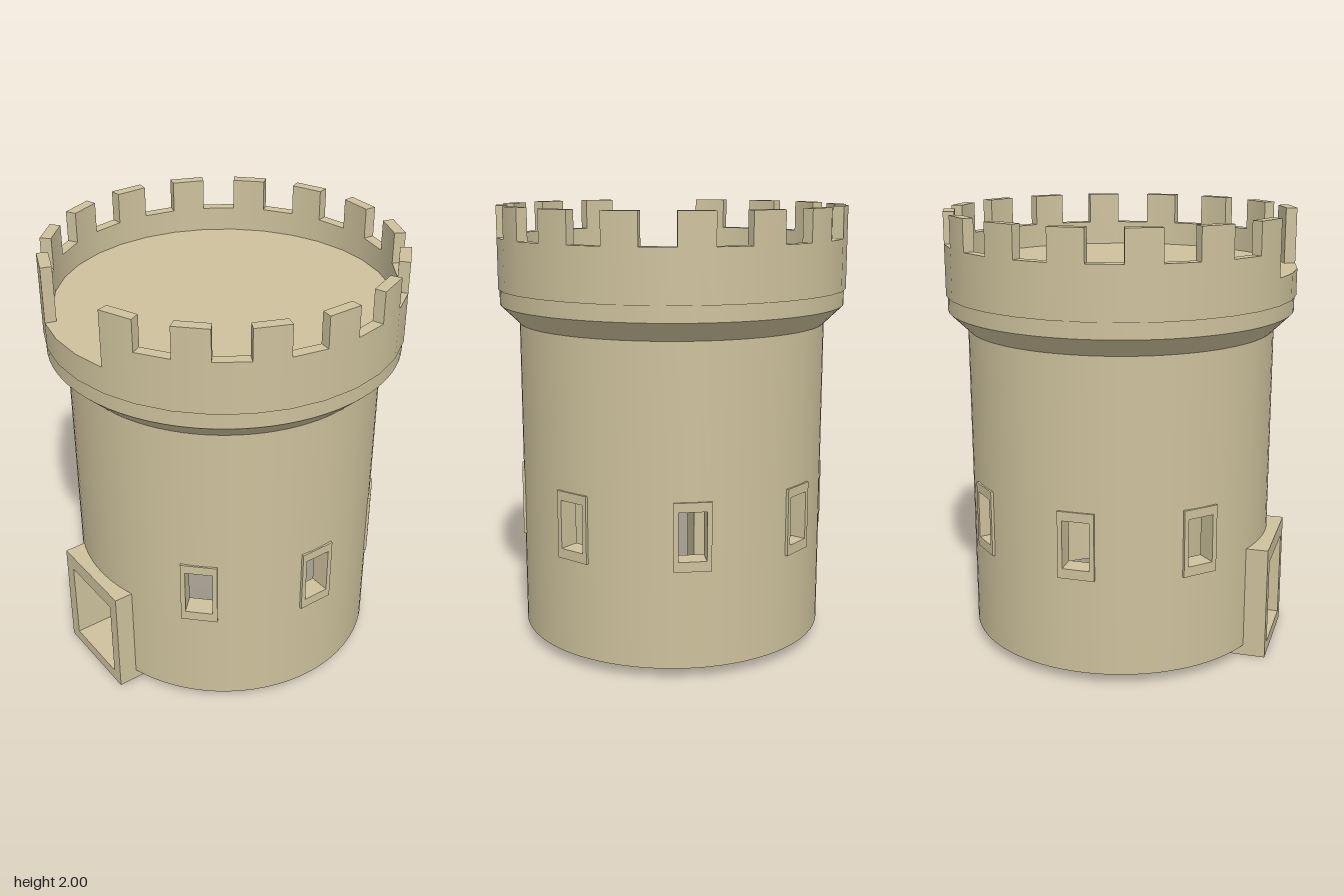
import * as THREE from 'three';
import { mergeGeometries } from 'three/addons/utils/BufferGeometryUtils.js';

const stone = new THREE.MeshStandardMaterial({ color: 0xcdc19c });
stone.name = 'sandstone';

const STEP = Math.PI / 16; // angle of one battlement block
const OUTER = 0.7, INNER = 0.635; // tower wall radii
const BASE = 0.05, NECK = 1.475, DECK = 1.75;

function part(name, geometry) {
  const mesh = new THREE.Mesh(geometry, stone);
  mesh.name = name;
  return mesh;
}

// Sweeps a profile of [radius, y] points round the y axis, keeping its corners sharp.
// Angles start at +z and grow towards +x.
function sweep(profile, start, end, segments) {
  const bands = [];
  for (let i = 0; i < profile.length - 1; i++) {
    const pair = [profile[i], profile[i + 1]].map(([r, y]) => new THREE.Vector2(r, y));
    bands.push(new THREE.LatheGeometry(pair, segments, start, end - start));
  }
  return mergeGeometries(bands);
}

// Curved piece of the tower wall between two angles and two heights
function wallPiece(start, end, y0, y1) {
  const segments = Math.max(1, Math.round((end - start) / (Math.PI / 40)));
  return sweep([[OUTER, y0], [OUTER, y1], [INNER, y1], [INNER, y0], [OUTER, y0]], start, end, segments);
}

// Flat radial face, closing the end of a swept piece
function endCap(r0, r1, y0, y1, angle, atEnd) {
  const cap = new THREE.PlaneGeometry(r1 - r0, y1 - y0);
  if (atEnd) cap.rotateY(Math.PI);
  cap.translate((r0 + r1) / 2, (y0 + y1) / 2, 0);
  return cap.rotateY(angle - Math.PI / 2);
}

function rect(target, x0, x1, y0, y1) {
  target.moveTo(x0, y0);
  target.lineTo(x1, y0);
  target.lineTo(x1, y1);
  target.lineTo(x0, y1);
  target.closePath();
  return target;
}

// Rectangular frame with an opening, running from z0 to z1
function frame(outer, opening, z0, z1) {
  const shape = rect(new THREE.Shape(), ...outer);
  shape.holes.push(rect(new THREE.Path(), ...opening));
  return new THREE.ExtrudeGeometry(shape, { depth: z1 - z0, bevelEnabled: false }).translate(0, 0, z0);
}

// Hollow wall, cut for a door at the front and seven windows
function towerWall() {
  const pieces = [];
  const cuts = [{ a: -0.215 / OUTER, b: 0.18 / OUTER, y0: BASE, y1: 0.49 }];
  for (let i = 1; i < 8; i++) {
    const middle = i * Math.PI / 4;
    cuts.push({ a: middle - 0.1, b: middle + 0.1, y0: 0.512, y1: 0.775 });
  }
  cuts.forEach((cut, i) => {
    const next = i < 7 ? cuts[i + 1].a : cuts[0].a + Math.PI * 2;
    pieces.push(wallPiece(cut.b, next, BASE, NECK));
    pieces.push(wallPiece(cut.a, cut.b, cut.y1, NECK));
    if (cut.y0 > BASE) pieces.push(wallPiece(cut.a, cut.b, BASE, cut.y0));
  });
  return mergeGeometries(pieces);
}

// Parapet with alternating merlons and gaps, lowered to the deck at the front
function battlements() {
  const R = 0.795, r = 0.745, pieces = [];
  for (let i = 0; i < 32; i++) {
    const start = (i - 0.5) * STEP, end = start + STEP;
    const front = i < 2 || i === 31;
    const merlon = i % 2 === 0;
    const top = front ? DECK : merlon ? 2 : 1.86;
    const profile = [[R, 1.63], [R, top]];
    if (!front) profile.push([r, top], [r, DECK]);
    pieces.push(sweep(profile, start, end, 1));
    if (merlon && !front) {
      pieces.push(endCap(r, R, 1.86, 2, start, false), endCap(r, R, 1.86, 2, end, true));
    }
  }
  // Ends of the parapet on each side of the front gap
  pieces.push(endCap(r, R, DECK, 1.86, 1.5 * STEP, false));
  pieces.push(endCap(r, R, DECK, 1.86, -1.5 * STEP, true));
  // Narrow underside lip
  pieces.push(sweep([[0.78, 1.63], [R, 1.63]], -STEP / 2, 31.5 * STEP, 32));
  return mergeGeometries(pieces);
}

export function createModel() {
  const model = new THREE.Group();
  model.name = 'castleTower';
  const turn = Math.PI * 2;

  model.add(part('towerWall', towerWall()));
  model.add(part('corbel', sweep(
    [[INNER, 1.63], [INNER, NECK], [OUTER, NECK], [0.787, 1.56], [0.787, 1.63]], 0, turn, 80)));
  model.add(part('ceiling', sweep([[0, 1.63], [INNER, 1.63]], 0, turn, 80)));
  model.add(part('deck', sweep([[0.795, DECK], [0, DECK]], -STEP / 2, 31.5 * STEP, 32)));
  model.add(part('battlements', battlements()));

  // Door frame passing through the front wall
  model.add(part('doorFrame',
    frame([-0.245, 0.205, 0, 0.525], [-0.185, 0.15, 0.055, 0.45], 0.515, 0.755)));

  // Window frames on the other seven sides
  const windowFrame = frame([-0.082, 0.082, 0.49, 0.795], [-0.061, 0.061, 0.535, 0.753], 0.612, 0.707);
  for (let i = 1; i < 8; i++) {
    const mesh = part('windowFrame' + i, windowFrame);
    mesh.rotation.y = i * Math.PI / 4;
    model.add(mesh);
  }
  return model;
}
